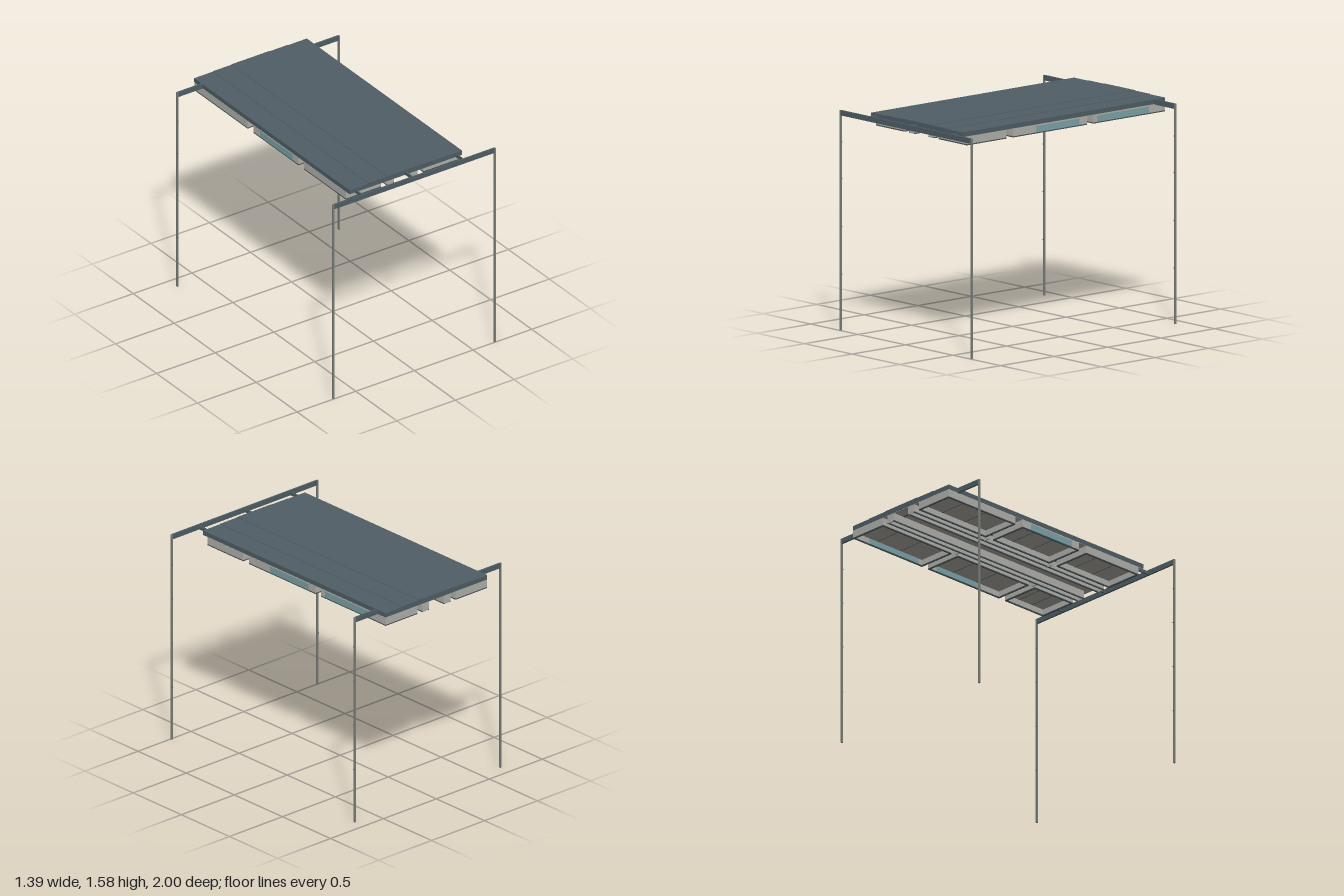
import * as THREE from 'three';

const mat = (name, color) => {
  const m = new THREE.MeshStandardMaterial({ color });
  m.name = name;
  return m;
};

export function createModel() {
  const slate = mat('slate', 0x4f5e65);
  const steel = mat('steel', 0x7a807a);
  const pale = mat('paleGrey', 0xb0b0ab);
  const panel = mat('ceilingGrey', 0xaaa69d);
  const teal = mat('tealGlass', 0x7aa3a8);
  const trim = mat('darkTrim', 0x4a5255);

  const root = new THREE.Group();
  root.name = 'canopy';

  // Box given by its limits along each axis
  const box = (parent, name, m, x0, x1, y0, y1, z0, z1) => {
    const g = new THREE.BoxGeometry(Math.abs(x1 - x0), y1 - y0, Math.abs(z1 - z0));
    const mesh = new THREE.Mesh(g, m);
    mesh.position.set((x0 + x1) / 2, (y0 + y1) / 2, (z0 + z1) / 2);
    mesh.name = name;
    parent.add(mesh);
    return mesh;
  };

  // Roof slab rising in two tiny steps towards the middle
  const profile = new THREE.Shape([
    [-0.48, 1.537], [0.48, 1.537], [0.48, 1.57], [0.32, 1.57], [0.32, 1.573], [0.16, 1.573],
    [0.16, 1.576], [-0.16, 1.576], [-0.16, 1.573], [-0.32, 1.573], [-0.32, 1.57], [-0.48, 1.57],
  ].map(([x, y]) => new THREE.Vector2(x, y)));
  const roofGeo = new THREE.ExtrudeGeometry(profile, { depth: 1.895, bevelEnabled: false });
  roofGeo.translate(0, 0, -1);
  const roof = new THREE.Mesh(roofGeo, slate);
  roof.name = 'roof';
  root.add(roof);
  box(root, 'roofUnderside', panel, -0.478, 0.478, 1.534, 1.537, -0.998, 0.893);

  // Front and back frames: beam, posts and small bolts
  for (const [label, z0, z1, inward] of [['front', 0.987, 1, -1], ['back', -0.914, -0.9, 1]]) {
    const frame = new THREE.Group();
    frame.name = label + 'Frame';
    root.add(frame);
    box(frame, 'beam', slate, -0.683, 0.683, 1.533, 1.57, z0, z1);
    const zi = inward > 0 ? z1 : z0;
    for (const s of [-1, 1]) {
      box(frame, 'post', steel, s * 0.683, s * 0.694, 0, 1.57, z0, z1);
      for (const y of [0.4, 0.74, 1.08, 1.34])
        box(frame, 'bolt', trim, s * 0.686, s * 0.691, y - 0.003, y + 0.003, zi, zi + inward * 0.006);
    }
  }

  // Ties between the roof and the front beam
  for (const x of [-0.43, 0, 0.43])
    box(root, 'tie', slate, x - 0.005, x + 0.005, 1.535, 1.56, 0.89, 0.99);

  // Downward-open tray with pale walls, flat ceiling and thin lower trim
  const T = 0.01, TOP = 1.534, LOW = 1.472, LIP = 1.48;
  const tray = (s, xi, xo, z0, z1, glass) => {
    const g = new THREE.Group();
    g.name = 'ceilingTray';
    root.add(g);
    const wall = (name, x0, x1, a, b) => {
      box(g, name, pale, x0, x1, LIP, TOP, a, b);
      box(g, 'lowerTrim', trim, x0, x1, LOW, LIP, a, b);
    };
    wall('outerWall', s * (xo - T), s * xo, z0, z1);
    wall('innerWall', s * xi, s * (xi + T), z0, z1);
    wall('endWall', s * (xi + T), s * (xo - T), z0, z0 + T);
    wall('endWall', s * (xi + T), s * (xo - T), z1 - T, z1);
    box(g, 'ceilingPanel', panel, s * (xi + T), s * (xo - T), 1.52, TOP, z0 + T, z1 - T);
    // Seams across the ceiling panel
    for (const f of [1 / 3, 2 / 3]) {
      const z = z0 + (z1 - z0) * f;
      box(g, 'seam', trim, s * (xi + T), s * (xo - T), 1.518, 1.52, z - 0.002, z + 0.002);
    }
    // Glass strip on both faces of the outer wall
    if (glass) {
      box(g, 'glassOutside', teal, s * xo, s * (xo + 0.001), LIP, 1.526, ...glass);
      box(g, 'glassInside', teal, s * (xo - T - 0.001), s * (xo - T), LIP, 1.526, ...glass);
    }
  };

  tray(1, 0.18, 0.479, 0.48, 0.85);
  tray(1, 0.18, 0.479, -0.27, 0.42, [-0.2, 0.2]);
  tray(1, 0.18, 0.479, -1, -0.33, [-0.85, -0.37]);
  tray(-1, 0.18, 0.479, 0.34, 0.85);
  tray(-1, 0.18, 0.479, -0.28, 0.27, [-0.2, 0.2]);
  tray(-1, 0.18, 0.479, -1, -0.35);

  // Long service channels either side of the centre line
  for (const s of [-1, 1]) {
    const g = new THREE.Group();
    g.name = 'serviceChannel';
    root.add(g);
    for (const x of [0.07, 0.125]) {
      box(g, 'channelWall', pale, s * x, s * (x + 0.008), LIP, TOP, -1, 0.85);
      box(g, 'lowerTrim', trim, s * x, s * (x + 0.008), LOW, LIP, -1, 0.85);
    }
    for (const z of [-1, 0.842])
      box(g, 'channelEnd', pale, s * 0.078, s * 0.125, LOW, TOP, z, z + 0.008);
    box(g, 'channelCeiling', panel, s * 0.078, s * 0.125, 1.525, TOP, -0.992, 0.842);
    // Small hangers
    for (const z of [-0.75, -0.3, 0.3, 0.7])
      box(g, 'hanger', trim, s * 0.095, s * 0.107, 1.505, 1.525, z - 0.008, z + 0.008);
    // Cross links from the channel to the trays
    for (const z of s > 0 ? [-0.3, 0.45] : [-0.315, 0.305])
      box(g, 'crossLink', pale, s * 0.133, s * 0.18, LOW, TOP, z - 0.004, z + 0.004);
  }
  return root;
}
